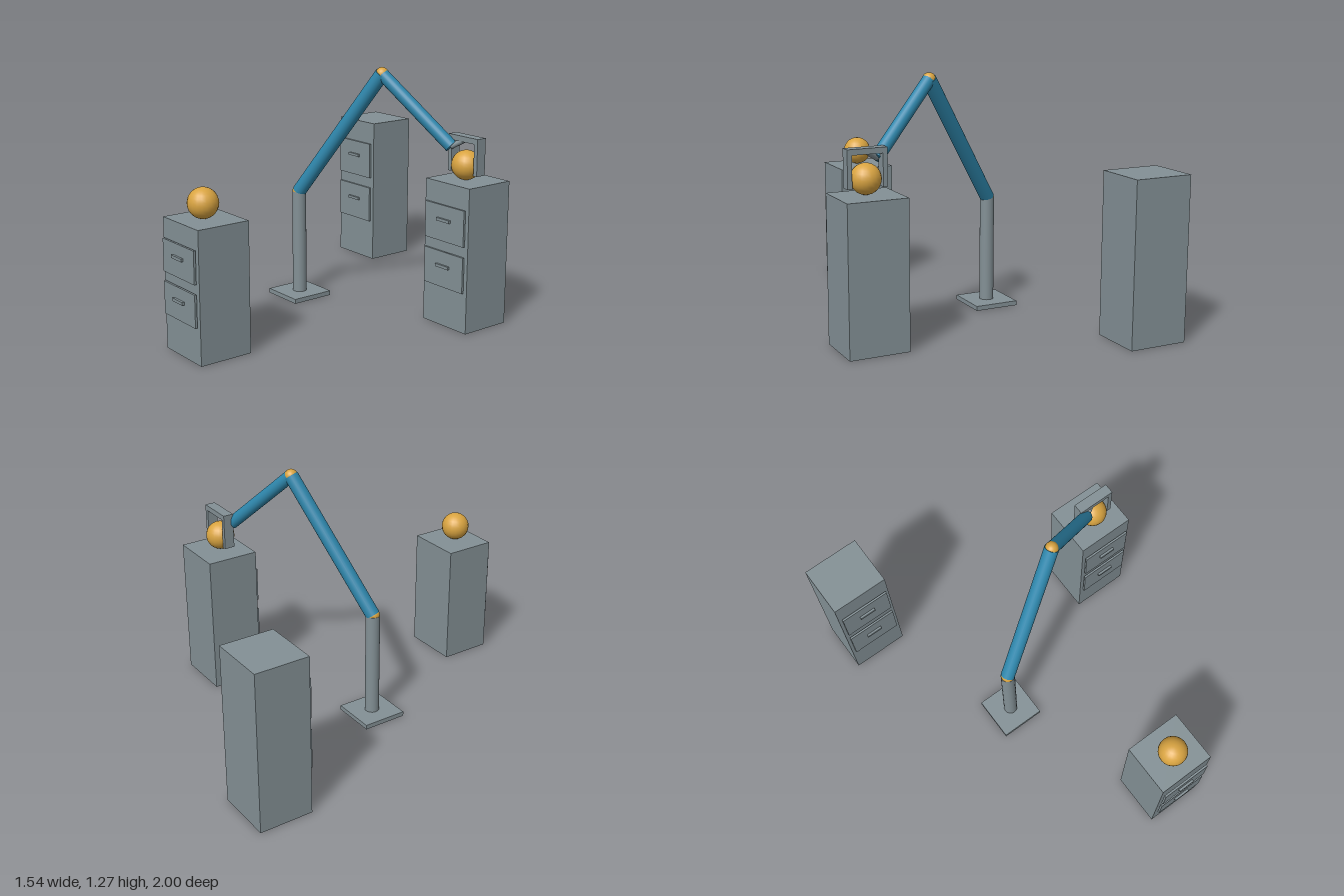
import * as THREE from 'three';

const mat = (name, color) => Object.assign(new THREE.MeshStandardMaterial({ color }), { name });

export function createModel() {
  const model = new THREE.Group();
  const grey = mat('metalGrey', 0x839095);
  const blue = mat('armBlue', 0x2e86ab);
  const amber = mat('amber', 0xd9a441);

  const add = (parent, name, geometry, material, x, y, z) => {
    const mesh = new THREE.Mesh(geometry, material);
    mesh.name = name;
    mesh.position.set(x, y, z);
    parent.add(mesh);
    return mesh;
  };
  const box = (parent, name, w, h, d, x, y, z) =>
    add(parent, name, new THREE.BoxGeometry(w, h, d), grey, x, y, z);
  const ball = (name, r, p) => add(model, name, new THREE.SphereGeometry(r, 20, 14), amber, p.x, p.y, p.z);
  // round bar between two points
  const rod = (name, a, b, r, material) => {
    const dir = b.clone().sub(a);
    const mid = a.clone().add(b).multiplyScalar(0.5);
    const mesh = add(model, name, new THREE.CylinderGeometry(r, r, dir.length(), 24), material, mid.x, mid.y, mid.z);
    mesh.quaternion.setFromUnitVectors(new THREE.Vector3(0, 1, 0), dir.normalize());
  };
  const V = (x, y, z) => new THREE.Vector3(x, y, z);

  // cabinets, each with two drawers and handles
  const cabinet = (name, x, z, h) => {
    const g = new THREE.Group();
    g.name = name;
    g.position.set(x, 0, z);
    model.add(g);
    const depth = 0.275, front = depth / 2;
    box(g, 'cabinetBody', 0.304, h, depth, 0, h / 2, 0);
    for (const f of [0.727, 0.406]) {
      box(g, 'drawerFront', 0.27, h * 0.248, 0.011, 0, h * f, front + 0.0105);
      box(g, 'drawerHandle', 0.088, 0.015, 0.012, 0, h * (f + 0.024), front + 0.022);
    }
  };
  cabinet('tallCabinet', -0.622, -0.8625, 0.82);
  cabinet('lowCabinet', 0.166, 0.8345, 0.65);
  cabinet('middleCabinet', 0.617, -0.41, 0.738);

  // balls resting on two cabinets
  ball('lowBall', 0.075, V(0.166, 0.727, 0.847));
  ball('heldBall', 0.075, V(0.618, 0.814, -0.397));

  // robot arm
  const shoulder = V(-0.228, 0.577, 0);
  const elbow = V(0.202, 1.235, -0.202);
  const wrist = V(0.546, 0.9, -0.361);
  box(model, 'basePlate', 0.236, 0.024, 0.236, -0.228, 0.012, 0);
  rod('column', V(-0.228, 0.02, 0), shoulder, 0.037, grey);
  ball('shoulderJoint', 0.036, shoulder);
  rod('upperArm', shoulder, elbow, 0.037, blue);
  ball('elbowJoint', 0.034, elbow);
  rod('forearm', elbow, wrist, 0.033, blue);
  rod('wristRod', wrist, V(0.618, 0.946, -0.397), 0.014, grey);

  // gripper bridge over the held ball
  const gripper = new THREE.Group();
  gripper.name = 'gripper';
  gripper.position.set(0.618, 0, -0.397);
  model.add(gripper);
  box(gripper, 'gripperBar', 0.2, 0.028, 0.055, 0, 0.946, 0);
  for (const s of [-1, 1]) box(gripper, 'gripperFinger', 0.023, 0.158, 0.055, s * 0.0885, 0.853, 0);

  return model;
}
